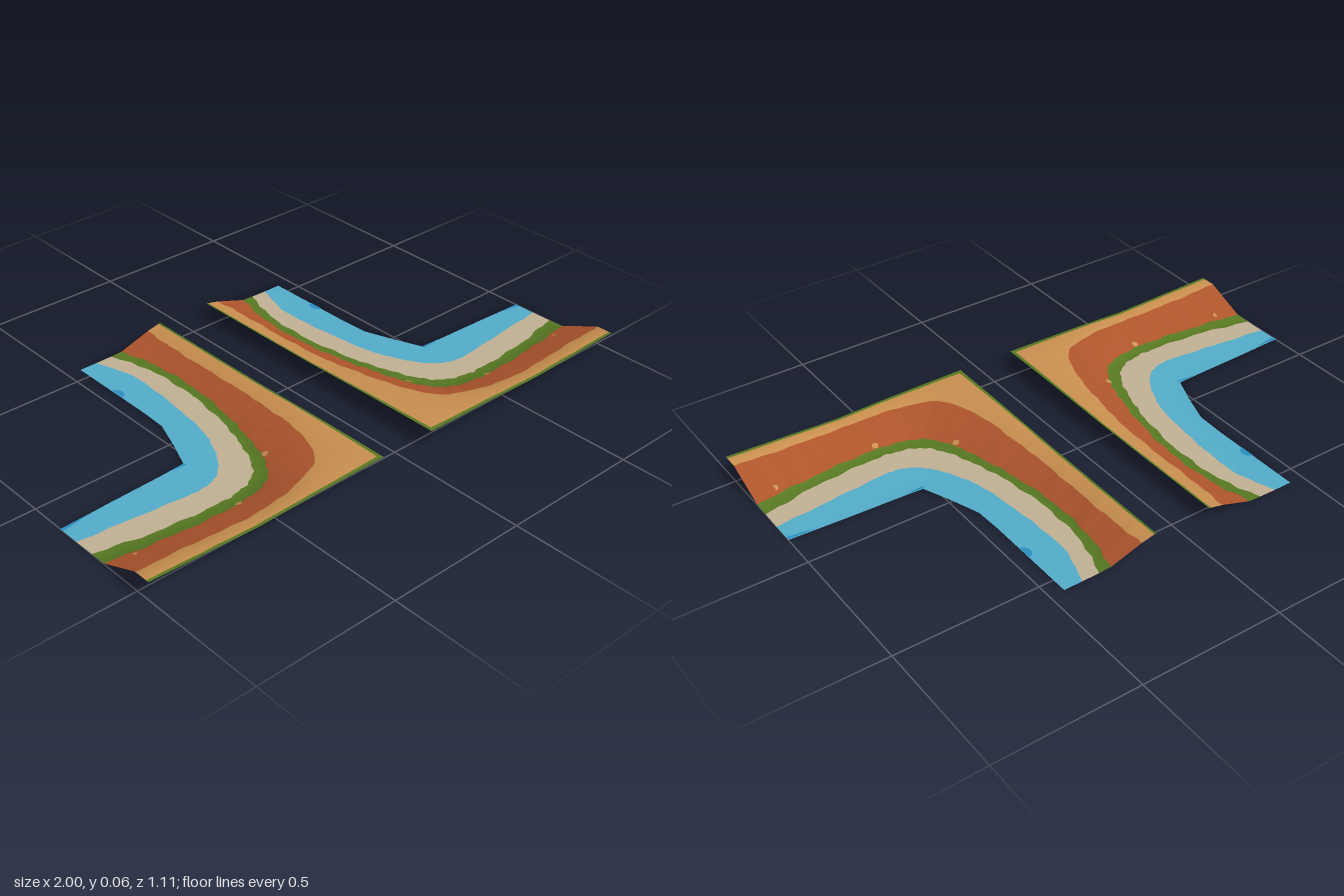
import * as THREE from 'three';

const flat = (name, color) => new THREE.MeshStandardMaterial({ name, color, side: THREE.DoubleSide });
const grass = flat('grass green', 0x587a22);
const sandstone = flat('sandstone tan', 0xcb9150);
const rust = flat('cliff rust', 0xb0562d);
const beach = flat('beach beige', 0xc3b396);
const water = flat('water blue', 0x55afcc);
const deepWater = flat('deep water blue', 0x2c8fc2);

// Contour lines from the outer rim to the shore, one [x, z, y] per station
const rim = [
  [.105, -.555, .052], [.105, -.4, .052], [.105, -.2, .052], [.105, 0, .053], [.105, .15, .056], [.105, .3, .059],
  [.105, .555, .06], [.4, .555, .057], [.6, .555, .051], [.8, .555, .058], [1, .555, .065]];
const rimGrass = [
  [.112, -.555, .051], [.112, -.4, .051], [.112, -.2, .051], [.112, 0, .052], [.112, .15, .056], [.114, .3, .059],
  [.118, .54, .06], [.4, .544, .057], [.6, .544, .051], [.8, .544, .058], [1, .544, .065]];
const cliffTop = [
  [.16, -.555, .04], [.165, -.4, .039], [.165, -.2, .039], [.17, 0, .044], [.185, .13, .052], [.2, .25, .06],
  [.265, .42, .064], [.42, .485, .056], [.6, .5, .049], [.8, .495, .056], [1, .495, .065]];
const cliffFoot = [
  [.275, -.555, .003], [.242, -.4, .003], [.235, -.2, .003], [.26, 0, .003], [.29, .13, .003], [.325, .25, .003],
  [.385, .34, .003], [.47, .375, .003], [.6, .385, .003], [.8, .37, .003], [1, .345, .003]];
const beachTop = [
  [.32, -.555, .001], [.275, -.4, .001], [.265, -.2, .001], [.29, 0, .001], [.325, .13, .001], [.365, .235, .001],
  [.42, .305, .001], [.5, .335, .001], [.6, .34, .001], [.8, .325, .001], [1, .285, .001]];
const waterline = [
  [.382, -.555, 0], [.338, -.4, 0], [.345, -.2, 0], [.37, 0, 0], [.4, .09, 0], [.435, .16, 0],
  [.48, .215, 0], [.53, .243, 0], [.6, .25, 0], [.8, .23, 0], [1, .21, 0]];
const innerEdge = [
  [.448, -.555, 0], [.448, -.4, 0], [.448, -.2, 0], [.452, -.1, 0], [.49, .01, 0], [.514, .07, 0],
  [.53, .11, 0], [.565, .112, 0], [.63, .115, 0], [.81, .121, 0], [1, .13, 0]];

const STEPS = 8; // samples between stations

// Sample a contour: smooth curve or straight runs, with a slight ragged wobble
function sample(stations, smooth, wobble, phase) {
  const pts = stations.map(([x, z, y]) => new THREE.Vector3(x, y, z));
  const curve = smooth ? new THREE.CatmullRomCurve3(pts, false, 'catmullrom', .5) : null;
  const count = (pts.length - 1) * STEPS;
  return Array.from({ length: count + 1 }, (_, i) => {
    const k = Math.min(Math.floor(i / STEPS), pts.length - 2);
    const p = curve ? curve.getPoint(i / count) : pts[k].clone().lerp(pts[k + 1], i / STEPS - k);
    if (i > 0 && i < count) {
      const w = wobble * (Math.sin(i * 1.7 + phase) + Math.sin(i * .9 + phase * 2)) / 2;
      const along = i / count; // turns from pushing in x to pushing in z
      p.x += w * (1 - along);
      p.z -= w * along;
    }
    return p;
  });
}

const lines = [
  sample(rim, false, 0, 0), sample(rimGrass, false, .001, 1), sample(cliffTop, true, .004, 2),
  sample(cliffFoot, true, .006, 3), sample(beachTop, true, .006, 4), sample(waterline, true, .003, 5),
  sample(innerEdge, false, 0, 0)];
const bandMaterials = [grass, sandstone, rust, grass, beach, water];

// One bank: a single smooth sheet with one material group per band
function bankGeometry(side) {
  const position = [], index = [];
  const geo = new THREE.BufferGeometry();
  const n = lines[0].length;
  lines.forEach(line => line.forEach(p => position.push(p.x * side, p.y, p.z)));
  for (let b = 0; b < lines.length - 1; b++) {
    const start = index.length;
    for (let i = 0; i < n - 1; i++) {
      const a = b * n + i, c = a + n;
      if (side > 0) index.push(a, a + 1, c, a + 1, c + 1, c);
      else index.push(a, c, a + 1, a + 1, c, c + 1);
    }
    geo.addGroup(start, index.length - start, b);
  }
  geo.setAttribute('position', new THREE.Float32BufferAttribute(position, 3));
  geo.setIndex(index);
  geo.computeVertexNormals();
  return geo;
}

// Flat painted patch outlined by [x, z] corners
function patch(name, material, corners, side, y) {
  const shape = new THREE.Shape(corners.map(([x, z]) => new THREE.Vector2(x * side, -z)));
  const mesh = new THREE.Mesh(new THREE.ShapeGeometry(shape).rotateX(-Math.PI / 2), material);
  mesh.name = name;
  mesh.position.y = y;
  return mesh;
}

function bank(side) {
  const group = new THREE.Group();
  group.name = side > 0 ? 'leftBank' : 'rightBank';
  const ground = new THREE.Mesh(bankGeometry(side), bandMaterials);
  ground.name = 'terrain';
  group.add(ground);

  // Darker water along the shore edge
  group.add(patch('deepWaterPool', deepWater,
    [[.448, -.375], [.43, -.365], [.424, -.345], [.432, -.325], [.448, -.318]], side, .002));
  group.add(patch('deepWaterEnd', deepWater, [[1, .131], [.9, .127], [.94, .136], [1, .145]], side, .002));
  group.add(patch('deepWaterBend', deepWater, [[.53, .111], [.6, .115], [.56, .12], [.525, .122]], side, .002));

  // Sandstone specks lying on the foot of the cliff
  [[.92, .378, 0, -1], [.545, .392, .15, -1], [.318, .25, 1, -.4]].forEach(([x, z, nx, nz]) => {
    const speck = new THREE.Mesh(new THREE.CircleGeometry(.012, 7), sandstone);
    speck.name = 'sandstoneSpeck';
    speck.position.set(x * side, .013, z);
    const normal = new THREE.Vector3(nx * side * .42, 1, nz * .42).normalize();
    speck.quaternion.setFromUnitVectors(new THREE.Vector3(0, 0, 1), normal);
    group.add(speck);
  });
  return group;
}

export function createModel() {
  const model = new THREE.Group();
  model.name = 'riverBanks';
  model.add(bank(1), bank(-1));
  return model;
}
